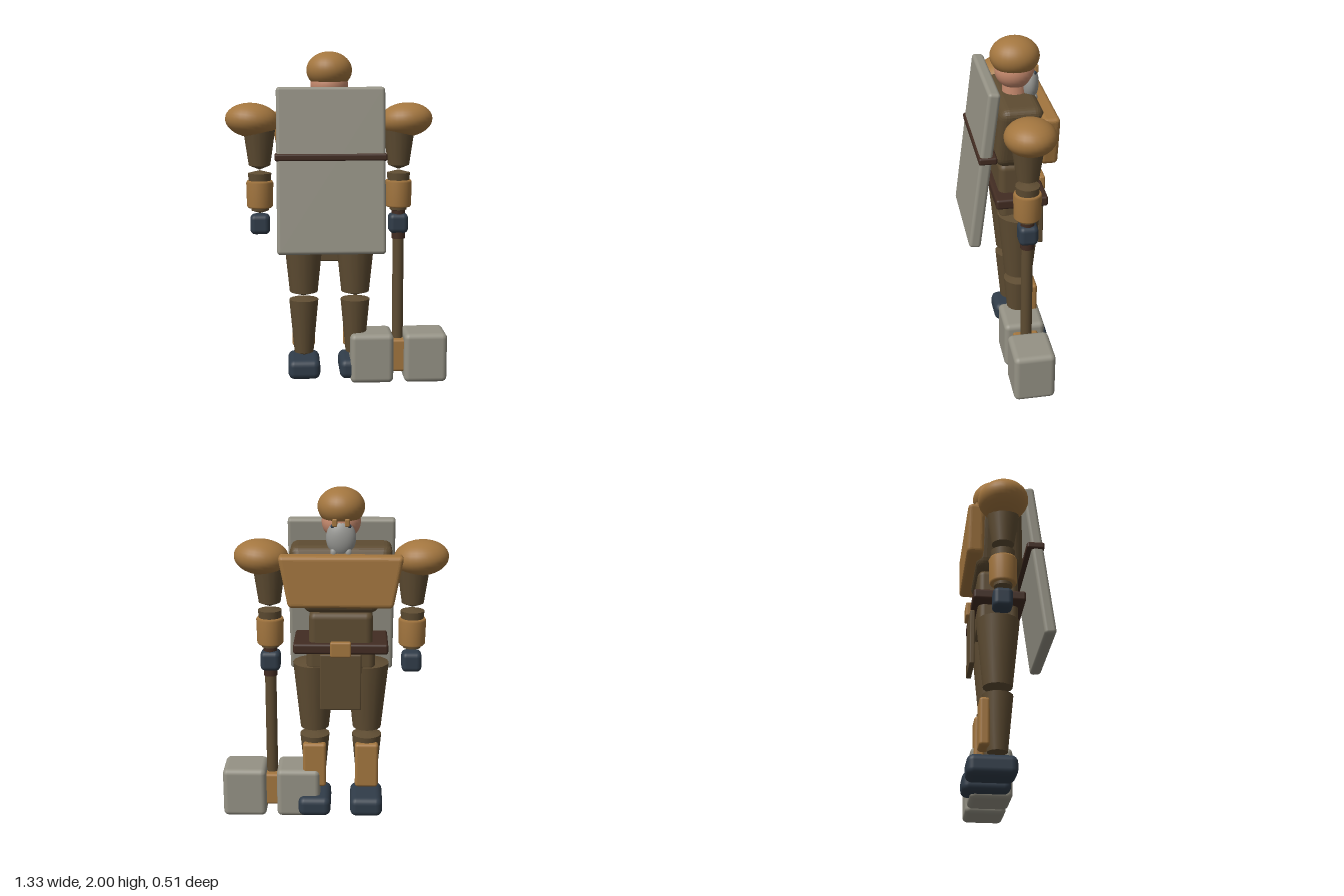
import * as THREE from 'three';
import { RoundedBoxGeometry } from 'three/addons/geometries/RoundedBoxGeometry.js';

const mat = (name, color) => Object.assign(new THREE.MeshStandardMaterial({ color }), { name });

export function createModel() {
  const leather = mat('tan leather', 0xa3763f);
  const cloth = mat('brown cloth', 0x5e4c32);
  const stone = mat('grey stone', 0x959285);
  const navy = mat('dark blue', 0x303c49);
  const strap = mat('dark strap', 0x422c22);
  const skin = mat('skin', 0xc68a6e);
  const hair = mat('grey beard', 0x989894);

  const root = new THREE.Group();
  root.name = 'hammerFighter';
  // The body axis sits slightly off the origin; the figure looks along -z
  const body = new THREE.Group();
  body.name = 'body';
  body.position.set(-0.05, 0, -0.067);
  root.add(body);

  const add = (name, geo, material, x, y, z, parent = body) => {
    const m = new THREE.Mesh(geo, material);
    m.name = name;
    m.position.set(x, y, z);
    parent.add(m);
    return m;
  };
  // Rounded box; bottom is the width of its lower end relative to the top
  const rbox = (w, h, d, r, bottom = 1) => {
    const g = new RoundedBoxGeometry(w, h, d, 3, r);
    if (bottom !== 1) {
      const p = g.attributes.position;
      for (let i = 0; i < p.count; i++) {
        const t = 0.5 - p.getY(i) / h;
        p.setX(i, p.getX(i) * (1 + (bottom - 1) * t));
      }
      g.computeVertexNormals();
    }
    return g;
  };
  const ball = (rx, ry, rz, cut = Math.PI) =>
    new THREE.SphereGeometry(1, 28, 18, 0, Math.PI * 2, 0, cut).scale(rx, ry, rz);
  // Tapered limb with shallow cone ends, from y0 up to y1
  const limb = (y0, r0, y1, r1, cap = 0.026) => new THREE.LatheGeometry([
    [0, y0], [r0, y0 + cap], [r0, y0 + cap], [r1, y1 - cap], [r1, y1 - cap], [0, y1],
  ].map(([r, y]) => new THREE.Vector2(r, y)), 16);

  // Head
  add('neck', new THREE.CylinderGeometry(0.068, 0.075, 0.14, 20), skin, 0, 1.69, 0);
  add('head', ball(0.112, 0.105, 0.115), skin, 0, 1.805, 0);
  leather.side = THREE.DoubleSide;
  add('helmet', ball(0.135, 0.11, 0.142, 2.32), leather, 0, 1.89, 0);
  add('beard', ball(0.085, 0.108, 0.055), hair, 0, 1.725, -0.083);
  for (const s of [-1, 1]) {
    add('browGuard', rbox(0.028, 0.045, 0.025, 0.008), leather, s * 0.035, 1.817, -0.118);
    add('eye', ball(0.013, 0.013, 0.013), navy, s * 0.045, 1.795, -0.106);
    add('beardBraid', ball(0.02, 0.028, 0.018), hair, s * 0.042, 1.645, -0.108);
  }

  // Torso
  const chest = rbox(0.61, 0.39, 0.28, 0.06, 0.7);
  const cp = chest.attributes.position;
  for (let i = 0; i < cp.count; i++) {
    cp.setZ(i, cp.getZ(i) * (1 - 0.25 * (cp.getY(i) + 0.195)));
  }
  chest.computeVertexNormals();
  add('chest', chest, cloth, 0, 1.485, 0.005);
  add('abdomen', rbox(0.37, 0.24, 0.24, 0.04), cloth, 0, 1.175, 0);
  add('pelvis', rbox(0.4, 0.17, 0.235, 0.04), cloth, 0, 1.02, 0);
  add('chestPlate', rbox(0.71, 0.3, 0.1, 0.025, 0.84), leather, 0, 1.49, -0.146);
  add('belt', rbox(0.55, 0.062, 0.305, 0.015), strap, 0, 1.086, 0);
  add('buckle', rbox(0.12, 0.09, 0.035, 0.01), leather, 0, 1.09, -0.161);
  add('loincloth', rbox(0.24, 0.34, 0.03, 0.008), cloth, 0, 0.885, -0.143);

  // Arms and legs
  for (const s of [-1, 1]) {
    const arm = new THREE.Group();
    arm.name = s > 0 ? 'leftArm' : 'rightArm';
    arm.position.x = s * 0.417;
    body.add(arm);
    const pad = add('shoulderPad', ball(0.159, 0.102, 0.145), leather, s * 0.042, 1.598, -0.004, arm);
    pad.rotation.z = s * 0.08;
    add('upperArm', limb(1.303, 0.064, 1.63, 0.104), cloth, 0, 0, 0, arm);
    add('forearm', limb(1.04, 0.052, 1.3, 0.07, 0.018), cloth, 0, 0, 0, arm);
    add('bracer', new THREE.LatheGeometry([[0, 1.075], [0.07, 1.075], [0.078, 1.085],
      [0.081, 1.225], [0.074, 1.238], [0, 1.238]].map(([r, y]) => new THREE.Vector2(r, y)), 24),
    leather, 0, 0, 0, arm);
    add('hand', rbox(0.118, 0.12, 0.112, 0.03), navy, 0, 0.975, -0.003, arm);

    const leg = new THREE.Group();
    leg.name = s > 0 ? 'leftLeg' : 'rightLeg';
    leg.position.x = s * 0.157;
    body.add(leg);
    add('thigh', limb(0.53, 0.085, 0.99, 0.127), cloth, 0, 0, 0, leg);
    add('shin', limb(0.155, 0.058, 0.53, 0.089, 0.022), cloth, 0, 0, 0, leg);
    add('shinGuard', rbox(0.14, 0.28, 0.06, 0.018), leather, 0, 0.335, -0.077, leg);
    add('foot', rbox(0.195, 0.12, 0.28, 0.04), navy, 0, 0.083, -0.033, leg);
  }

  // Slab shield carried on the back
  const slab = add('backSlab', rbox(0.63, 0.965, 0.07, 0.02), stone, -0.05, 1.317, 0.158, root);
  slab.rotation.x = -0.128;
  add('slabStrap', rbox(0.65, 0.042, 0.105, 0.012), strap, -0.05, 1.397, 0.138, root);

  // Hammer resting on the ground in the left hand
  const hammer = new THREE.Group();
  hammer.name = 'hammer';
  hammer.position.set(0.369, 0, -0.068);
  root.add(hammer);
  add('handle', new THREE.CylinderGeometry(0.034, 0.034, 0.86, 16), cloth, 0, 0.63, 0, hammer);
  for (const y of [0.9, 1.045]) {
    add('gripCollar', new THREE.CylinderGeometry(0.041, 0.041, 0.04, 16), strap, 0, y, 0, hammer);
  }
  add('hammerCore', rbox(0.12, 0.2, 0.15, 0.015), leather, 0, 0.16, 0, hammer);
  for (const s of [-1, 1]) {
    add('hammerBlock', rbox(0.263, 0.305, 0.245, 0.032), stone, s * 0.164, 0.1525, 0, hammer);
  }
  return root;
}
